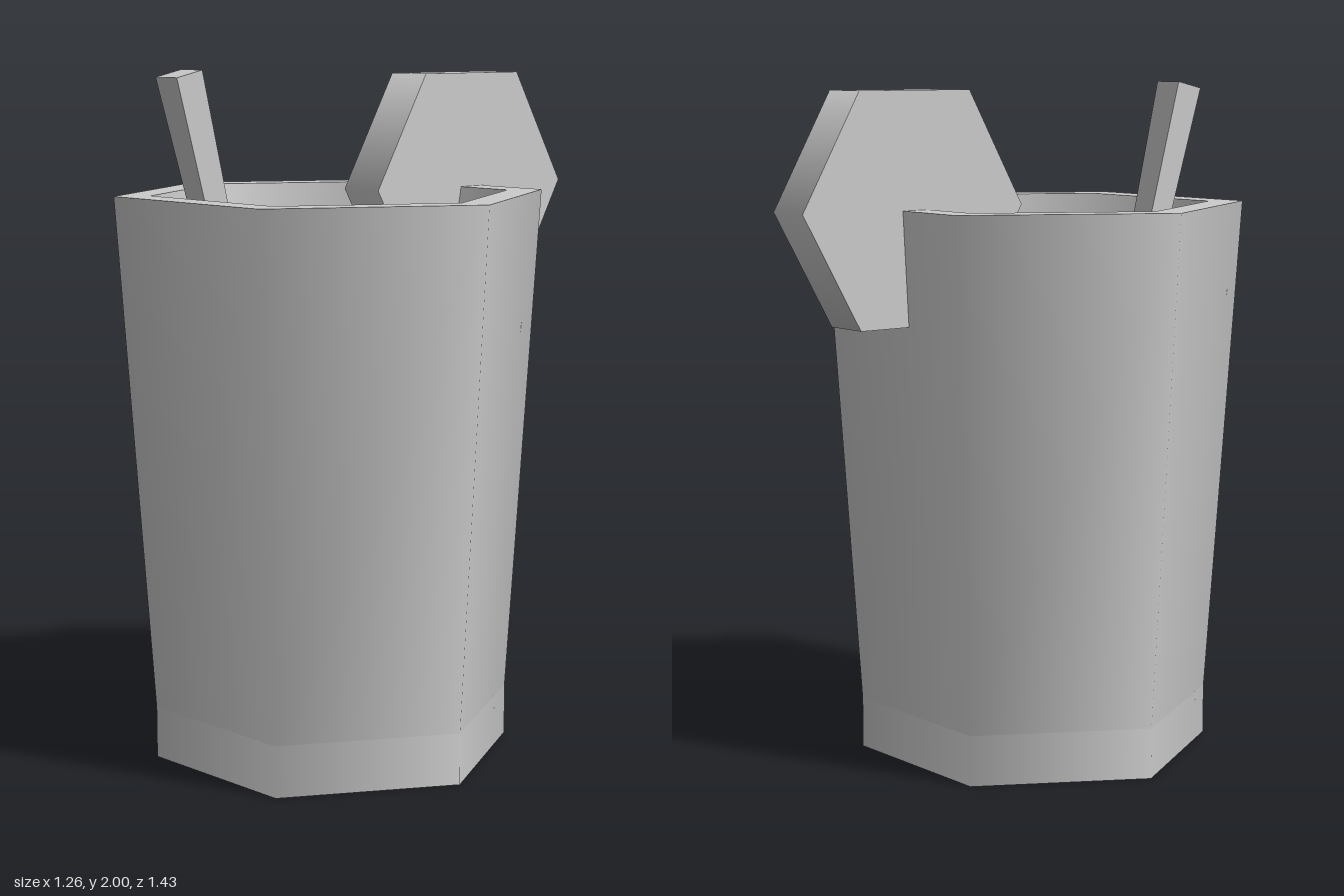
import * as THREE from 'three';

const SIDES = 6;
const CUP_Z = 0.17;
const RIM_Y = 1.645;
const DRINK_Y = 1.36;

export function createModel() {
  const group = new THREE.Group();
  const material = new THREE.MeshStandardMaterial({ color: 0xcccccc });
  const flatMaterial = new THREE.MeshStandardMaterial({ color: 0xcccccc, flatShading: true });
  const innerMaterial = new THREE.MeshStandardMaterial({ color: 0xcccccc, side: THREE.BackSide });

  const add = (name, geometry, mat = material) => {
    const mesh = new THREE.Mesh(geometry, mat);
    mesh.name = name;
    group.add(mesh);
    return mesh;
  };

  // Open six-sided tube with corners on the x axis
  const wall = (name, rTop, rBottom, y0, y1, mat) => {
    const geometry = new THREE.CylinderGeometry(rTop, rBottom, y1 - y0, SIDES, 1, true, Math.PI / 2);
    add(name, geometry, mat).position.set(0, (y0 + y1) / 2, CUP_Z);
  };

  // Flat six-sided face, facing up or down
  const disc = (name, geometry, y, up = 1) => {
    const mesh = add(name, geometry);
    mesh.rotation.x = -up * Math.PI / 2;
    mesh.position.set(0, y, CUP_Z);
  };

  // Glass: straight foot, flared body, rim and inner wall
  wall('glassFoot', 0.53, 0.53, 0, 0.15);
  wall('glassBody', 0.63, 0.53, 0.15, RIM_Y);
  wall('glassInside', 0.526, 0.467, DRINK_Y, RIM_Y, innerMaterial);
  disc('glassBase', new THREE.CircleGeometry(0.53, SIDES), 0, -1);
  disc('glassRim', new THREE.RingGeometry(0.526, 0.63, SIDES), RIM_Y);

  // Drink surface
  disc('drink', new THREE.CircleGeometry(0.467, SIDES), DRINK_Y);

  // Fruit slice hooked over the back of the rim
  const slice = add('fruitSlice', new THREE.CylinderGeometry(0.385, 0.385, 0.143, SIDES));
  slice.rotation.z = Math.PI / 2;
  slice.position.set(0, 1.648, -0.33);

  // Straw: a box tapered towards the drink and leaning forwards
  const straw = new THREE.BoxGeometry(1, 1, 1);
  const p = straw.attributes.position;
  for (let i = 0; i < p.count; i++) {
    const top = p.getY(i) > 0;
    const front = p.getZ(i) > 0;
    const x = -0.119 + p.getX(i) * (top ? 0.094 : 0.068);
    const y = top ? (front ? 1.98 : 2) : DRINK_Y - 0.02;
    const z = top ? (front ? 0.677 : 0.587) : (front ? 0.492 : 0.421);
    p.setXYZ(i, x, y, z);
  }
  straw.computeVertexNormals();
  add('straw', straw, flatMaterial);

  return group;
}
